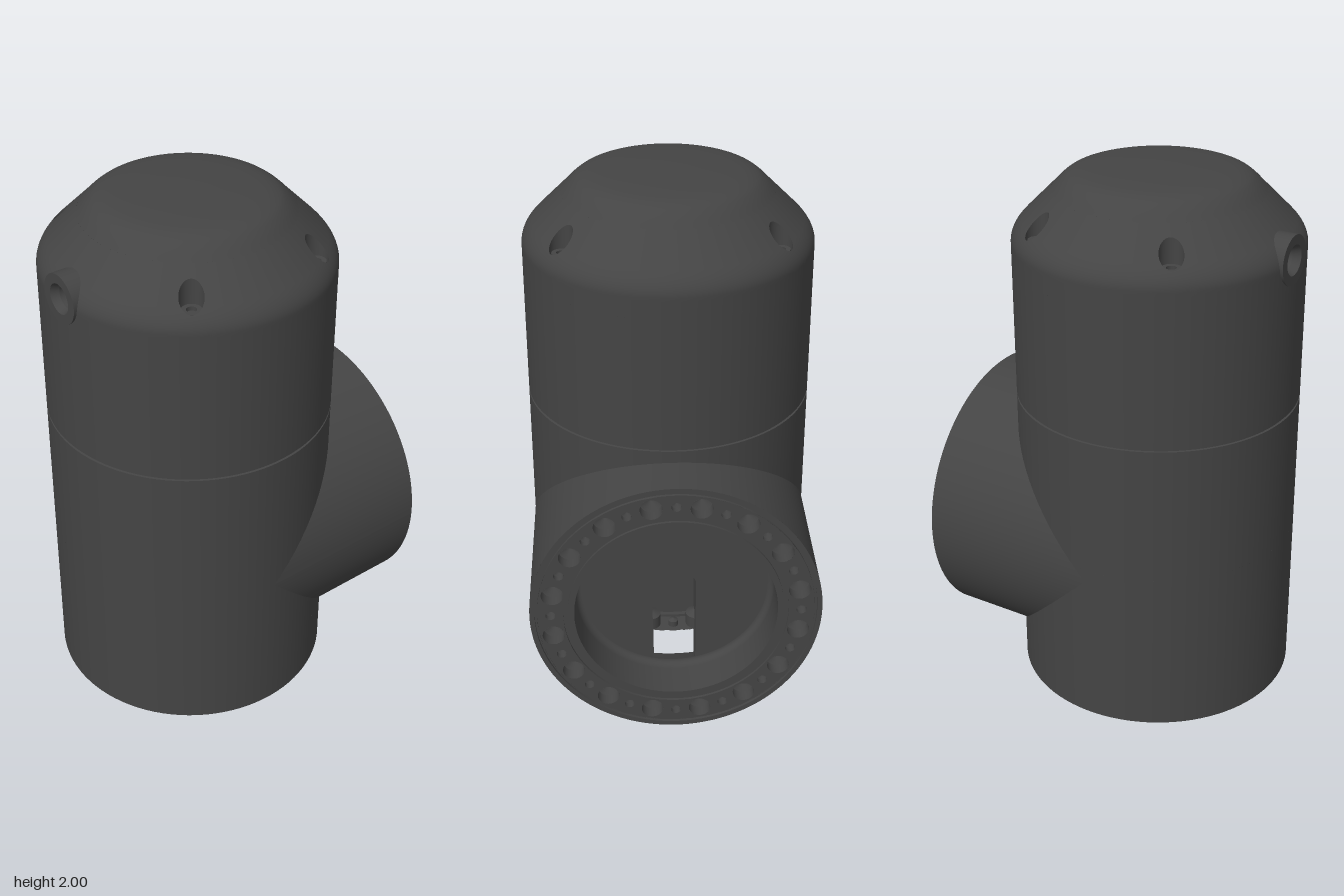
import * as THREE from 'three';

const R = 0.525, AXIS = -0.085, BRANCH_Y = 0.58, TAU = Math.PI * 2;
const SHOULDER = 1.775, SOFT = 0.04; // shoulder height and half-height of its rounding
const material = new THREE.MeshStandardMaterial({ color: 0x444444, side: THREE.DoubleSide });
const V2 = (x, y) => new THREE.Vector2(x, y);

function add(parent, name, geometry) {
  const mesh = new THREE.Mesh(geometry, material);
  mesh.name = name;
  parent.add(mesh);
  return mesh;
}

// Lathe with a hard edge at every profile point
function hardLathe(parent, name, pts, segs = 96, start = 0, length = TAU) {
  const group = new THREE.Group();
  group.name = name;
  for (let i = 0; i < pts.length - 1; i++) {
    add(group, name + 'Band', new THREE.LatheGeometry([V2(...pts[i]), V2(...pts[i + 1])], segs, start, length));
  }
  parent.add(group);
  return group;
}

// Skin over rows of points; optional normals in the same layout
function loft(rows, normals) {
  const n = rows[0].length, index = [];
  for (let j = 0; j < rows.length - 1; j++) {
    for (let i = 0; i < n - 1; i++) {
      const a = j * n + i, c = a + n;
      index.push(a, c, a + 1, a + 1, c, c + 1);
    }
  }
  const g = new THREE.BufferGeometry();
  g.setAttribute('position', new THREE.Float32BufferAttribute(rows.flat(2), 3));
  g.setIndex(index);
  if (normals) g.setAttribute('normal', new THREE.Float32BufferAttribute(normals.flat(2), 3));
  else g.computeVertexNormals();
  return g;
}

// Cap wall: vertical, then rounded over into a 45 degree cone
function capRadius(y) {
  const d = y - SHOULDER;
  if (d < -SOFT) return R;
  return d > SOFT ? R - d : R - (d + SOFT) ** 2 / (4 * SOFT);
}
function capHeight(r) {
  const d = R - r;
  return d > SOFT ? SHOULDER + d : SHOULDER - SOFT + Math.sqrt(4 * SOFT * d);
}
function capPoint([phi, y]) {
  const r = capRadius(y);
  return [r * Math.cos(phi), y, r * Math.sin(phi)];
}
function capNormal([phi, y]) {
  const slope = (capRadius(y + 0.001) - capRadius(y - 0.001)) / 0.002;
  return new THREE.Vector3(Math.cos(phi), -slope, Math.sin(phi)).normalize().toArray();
}
const capSkin = rows => loft(rows.map(r => r.map(capPoint)), rows.map(r => r.map(capNormal)));
const grid = (rows, cols, f) =>
  Array.from({ length: rows + 1 }, (_, j) => Array.from({ length: cols + 1 }, (_, i) => f(j / rows, i / cols)));

function buildCap(body) {
  const y0 = 1.66, y1 = 1.92, half = 0.15;
  const hr = 0.458, hole = 0.042, a = Math.atan2(0.375, 0.2625);
  const screw = phi => ({
    phi,
    edge: t => {
      const along = hole * Math.cos(t), out = hr - hole * Math.sin(t);
      return [phi + Math.atan2(along, out), capHeight(Math.hypot(along, out))];
    },
  });
  const port = {
    phi: Math.PI,
    edge: t => {
      const y = 1.75 + 0.055 * Math.sin(t);
      return [Math.PI + Math.asin(0.055 * Math.cos(t) / capRadius(y)), y];
    },
  };
  const windows = [screw(a), screw(Math.PI - a), port, screw(Math.PI + a), screw(TAU - a)];

  windows.forEach((w, k) => {
    // Plain wall up to the next opening
    const from = w.phi + half;
    const to = (k < 4 ? windows[k + 1].phi : windows[0].phi + TAU) - half;
    add(body, 'capWall', capSkin(grid(20, 24, (v, u) => [from + (to - from) * u, y0 + (y1 - y0) * v])));
    // Wall around the opening
    add(body, 'capOpening', capSkin(grid(10, 64, (v, u) => {
      const t = u * TAU, c = Math.cos(t), s = Math.sin(t), m = Math.max(Math.abs(c), Math.abs(s));
      const e = w.edge(t);
      const outer = [w.phi + half * c / m, (y0 + y1) / 2 + (y1 - y0) / 2 * s / m];
      return [outer[0] + (e[0] - outer[0]) * v, outer[1] + (e[1] - outer[1]) * v];
    })));
    if (w === port) return;
    // Screw shaft with a socket screw at its foot
    add(body, 'screwShaft', loft(grid(1, 64, (v, u) => {
      const p = capPoint(w.edge(u * TAU));
      return v ? [p[0], 1.77, p[2]] : p;
    })));
    hardLathe(body, 'capScrew',
      [[0.043, 1.77], [0.035, 1.77], [0.035, 1.795], [0.018, 1.795], [0.018, 1.78], [0, 1.78]], 32)
      .position.set(hr * Math.cos(w.phi), 0, hr * Math.sin(w.phi));
  });

  // Rounded crown
  const crown = new THREE.SplineCurve([V2(0.38, 1.92), V2(0.345, 1.955), V2(0.31, 1.977), V2(0.25, 1.99),
    V2(0.12, 1.998), V2(0, 2)]);
  add(body, 'crown', new THREE.LatheGeometry(crown.getPoints(30), 96));

  // Round port on the side of the shoulder
  const boss = hardLathe(body, 'sidePort',
    [[0.09, 0.44], [0.09, 0.528], [0.055, 0.528], [0.042, 0.5], [0.042, 0.44], [0, 0.43]], 40);
  boss.rotation.z = Math.PI / 2;
  boss.position.y = 1.75;
}

// Bolt flange facing +y with its face at y = 0 and a round cup in the middle
function flange(name, outer, depth, closed) {
  const g = new THREE.Group();
  g.name = name;
  const edge = outer > 0.51 ? [[outer, 0], [0.507, 0], [0.507, -0.01], [0.498, -0.01], [0.498, 0]]
    : [[outer, 0], [0.489, 0]];
  const rim = edge[edge.length - 1][0];
  hardLathe(g, 'outerGroove', edge);
  hardLathe(g, 'innerGroove', [[0.405, 0], [0.405, -0.01], [0.388, -0.01], [0.388, 0], [0.365, 0]]);

  const face = new THREE.Shape().absarc(0, 0, rim, 0, TAU);
  face.holes.push(new THREE.Path().absarc(0, 0, 0.405, 0, TAU, true));
  for (let i = 0; i < 32; i++) {
    const t = (i + 0.5) * TAU / 32 + TAU / 64, big = i % 2 === 0;
    const r = big ? 0.04 : 0.018, ring = 0.45;
    const x = ring * Math.cos(t), y = ring * Math.sin(t);
    face.holes.push(new THREE.Path().absarc(x, y, r, 0, TAU, true));
    hardLathe(g, big ? 'boltHole' : 'pinHole', [[r, 0], [r, -r * 1.2], [0, -r * 1.7]], 24).position.set(x, 0, -y);
  }
  add(g, 'boltFace', new THREE.ShapeGeometry(face, 24)).rotation.x = -Math.PI / 2;

  // Cup wall with a rounded foot
  const cup = [V2(0.365, 0), V2(0.365, -depth + 0.03)];
  for (let i = 1; i <= 6; i++) {
    const t = i / 6 * Math.PI / 2;
    cup.push(V2(0.345 + 0.02 * Math.cos(t), -depth + 0.03 - 0.03 * Math.sin(t)));
  }
  add(g, 'cupWall', new THREE.LatheGeometry(cup, 96));
  if (closed) hardLathe(g, 'cupFloor', [[0.345, -depth], [0, -depth]]);
  return g;
}

// Slot outline in (z, y) with rounded top corners
function slotOutline(bottom) {
  const w = 0.08, top = 0.62, c = 0.03, pts = [[-w, bottom]];
  for (let i = 0; i <= 5; i++) {
    const t = Math.PI - i / 5 * Math.PI / 2;
    pts.push([-w + c + c * Math.cos(t), top - c + c * Math.sin(t)]);
  }
  return pts.concat(pts.map(([z, y]) => [-z, y]).reverse());
}

function buildBranch(group) {
  // Side pipe mitred onto the main cylinder
  add(group, 'branchPipe', loft(grid(1, 128, (v, u) => {
    const t = u * TAU, z = R * Math.cos(t);
    const x = v ? 0.61 : AXIS + R * Math.abs(Math.sin(t)) - 0.002;
    return [x, BRANCH_Y + R * Math.sin(t), z];
  })));
  const f = flange('branchFlange', R, 0.165, false);
  f.rotation.z = -Math.PI / 2;
  f.position.set(0.61, BRANCH_Y, 0);
  group.add(f);

  // Back plate of the cup, pierced by a slot
  const plate = new THREE.Shape().absarc(0, BRANCH_Y, 0.346, 0, TAU);
  plate.holes.push(new THREE.Path(slotOutline(0.246).map(p => V2(...p))));
  const back = add(group, 'cupBackPlate', new THREE.ShapeGeometry(plate, 48));
  back.rotation.y = Math.PI / 2;
  back.position.x = 0.445;

  // Slot channel above the recess, and its cheeks beside the recess
  const outline = slotOutline(0.345);
  add(group, 'slotWall', loft([0.445, 0.3].map(x => outline.map(([z, y]) => [x, y, z]))));
  const end = add(group, 'slotEnd', new THREE.ShapeGeometry(new THREE.Shape(outline.map(p => V2(...p)))));
  end.rotation.y = Math.PI / 2;
  end.position.x = 0.3;
  for (const z of [-0.08, 0.08]) {
    const cheek = add(group, 'slotCheek', new THREE.PlaneGeometry(0.05, 0.125));
    cheek.position.set(0.42, 0.2825, z);
  }
}

export function createModel() {
  const model = new THREE.Group();
  model.name = 'pipeTeeHousing';
  const body = new THREE.Group();
  body.name = 'mainBody';
  body.position.x = AXIS;
  model.add(body);

  // Outer wall, open behind the slot, with a seam groove below the cap
  const gap = 0.155, gapStart = Math.PI / 2 + gap, gapLength = TAU - 2 * gap;
  hardLathe(body, 'lowerWall', [[R, 0], [R, 0.23]]);
  hardLathe(body, 'slottedWall', [[R, 0.23], [R, 0.63]], 96, gapStart, gapLength);
  hardLathe(body, 'upperWall',
    [[R, 0.63], [R, 1.15], [0.517, 1.151], [0.517, 1.159], [R, 1.16], [R, 1.66]]);

  // Hollow foot with a stepped skirt and a recessed flange
  hardLathe(body, 'skirt', [[R, 0], [0.51, 0], [0.51, 0.12], [0.49, 0.12], [0.49, 0.23]]);
  hardLathe(body, 'recessWall', [[0.49, 0.23], [0.49, 0.34]], 96, gapStart, gapLength);
  const foot = flange('footFlange', 0.49, 0.18, true);
  foot.rotation.x = Math.PI;
  foot.position.y = 0.34;
  body.add(foot);

  buildCap(body);
  buildBranch(model);
  return model;
}
